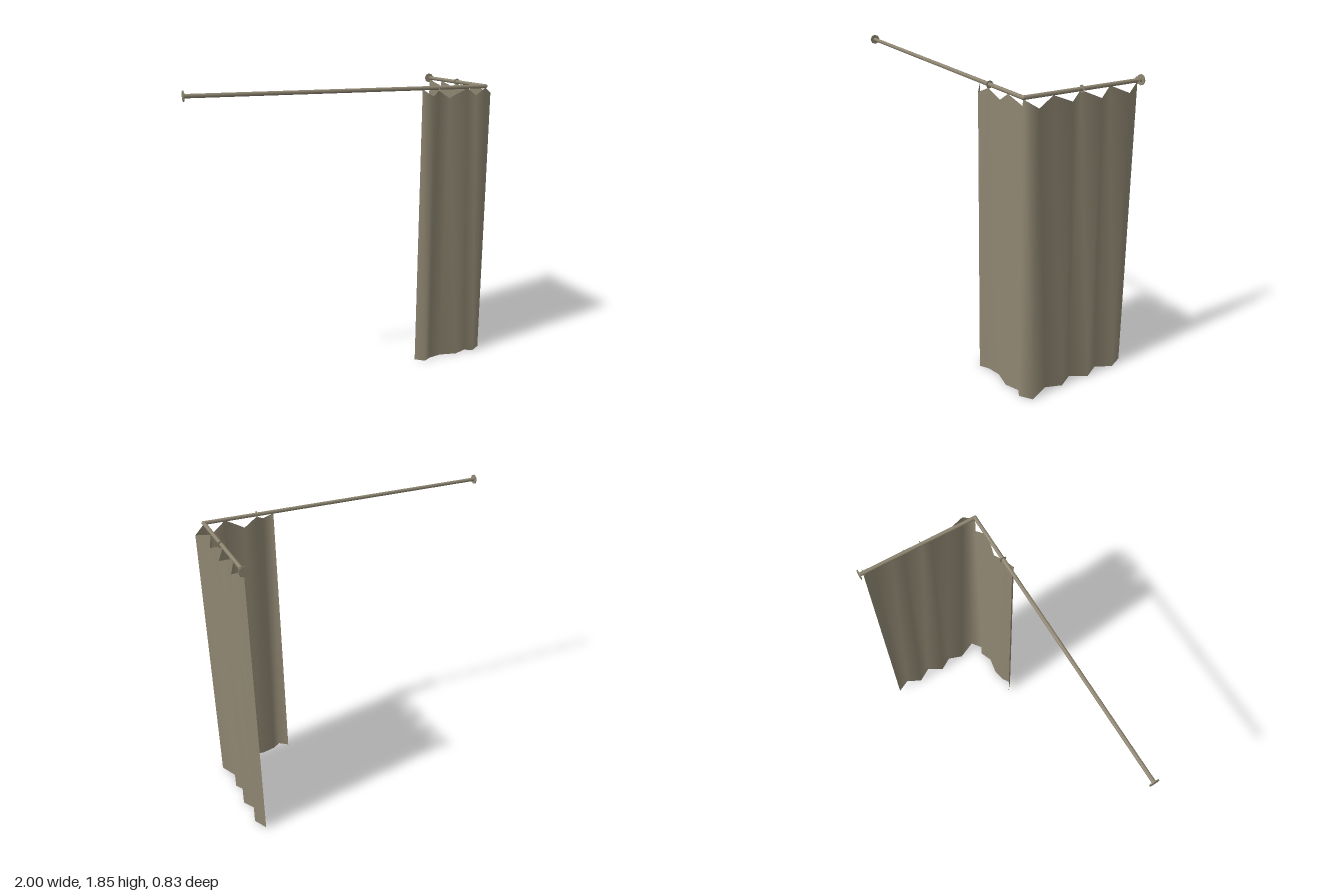
import * as THREE from 'three';

const ROD_Y = 1.818, ROD_R = 0.0125;
const CORNER_X = 0.93, CORNER_Z = 0.372;
const LEFT_X = -1, BACK_Z = -0.415;

export function createModel() {
  const model = new THREE.Group();
  model.name = 'cornerCurtainRail';
  const taupe = new THREE.MeshStandardMaterial({ color: 0x8f8672, side: THREE.DoubleSide });
  taupe.name = 'taupe';

  const add = (name, geometry, x, y, z, alongX = false) => {
    const mesh = new THREE.Mesh(geometry, taupe);
    mesh.name = name;
    mesh.position.set(x, y, z);
    if (alongX) mesh.rotation.y = Math.PI / 2;
    model.add(mesh);
    return mesh;
  };
  // cylinder whose axis runs along z
  const bar = (r, length, sides) => new THREE.CylinderGeometry(r, r, length, sides).rotateX(Math.PI / 2);

  // rods meeting at the corner
  const frontLength = CORNER_X - LEFT_X, sideLength = CORNER_Z - BACK_Z;
  add('frontRod', bar(ROD_R, frontLength, 8), (CORNER_X + LEFT_X) / 2, ROD_Y, CORNER_Z, true);
  add('sideRod', bar(ROD_R, sideLength, 8), CORNER_X, ROD_Y, (CORNER_Z + BACK_Z) / 2);
  add('cornerJoint', new THREE.SphereGeometry(ROD_R, 8, 6), CORNER_X, ROD_Y, CORNER_Z);

  // wall flanges
  add('frontRodFlange', bar(0.032, 0.006, 8), LEFT_X + 0.003, ROD_Y, CORNER_Z, true);
  add('sideRodFlange', bar(0.032, 0.006, 8), CORNER_X, ROD_Y, BACK_Z + 0.003);

  // curtain rings
  const ring = new THREE.RingGeometry(0.011, 0.023, 8);
  add('frontRing', ring, 0.593, ROD_Y, CORNER_Z, true);
  for (const z of [0, -0.385]) add('sideRing', ring, CORNER_X, ROD_Y, z);

  // curtain folds: x, z and height of the top edge
  const folds = [
    [0.485, 0.37, 1.81], [0.54, 0.415, 1.77], [0.593, 0.38, 1.80], [0.68, 0.36, 1.75],
    [0.795, 0.38, 1.81], [0.88, 0.345, 1.76], [0.93, 0.372, 1.81], [1.0, 0.32, 1.77],
    [0.94, 0.19, 1.81], [0.975, 0.09, 1.77], [0.92, 0, 1.81], [0.98, -0.1, 1.765],
    [0.92, -0.2, 1.81], [0.97, -0.3, 1.765], [0.925, -0.39, 1.81],
  ];
  const positions = [], index = [];
  folds.forEach(([x, z, top], i) => {
    positions.push(x, 0, z, x, top, z);
    if (i < folds.length - 1) {
      const a = i * 2;
      index.push(a, a + 2, a + 1, a + 1, a + 2, a + 3);
    }
  });
  const cloth = new THREE.BufferGeometry();
  cloth.setAttribute('position', new THREE.Float32BufferAttribute(positions, 3));
  cloth.setIndex(index);
  cloth.computeVertexNormals();
  add('curtain', cloth, 0, 0, 0);

  return model;
}
